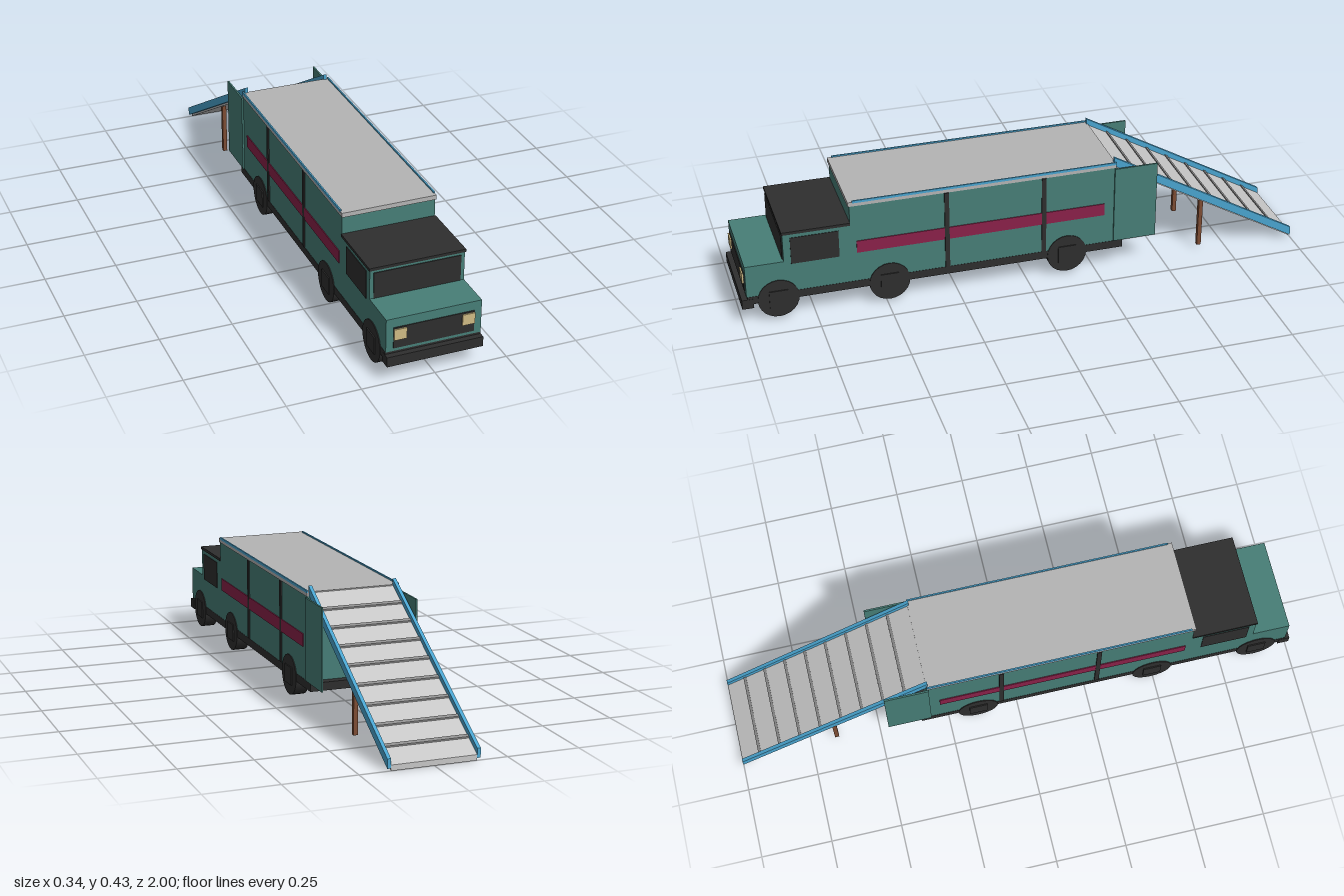
import * as THREE from 'three';

const mat = (name, color) => {
  const m = new THREE.MeshStandardMaterial({ color });
  m.name = name;
  return m;
};

export function createModel() {
  const truck = new THREE.Group();
  truck.name = 'truckWithRamp';

  const teal = mat('tealPaint', 0x477e77);
  const black = mat('blackTrim', 0x2e2e2e);
  const roofGrey = mat('roofGrey', 0xb4b4b4);
  const rampGrey = mat('rampGrey', 0xc6c6c6);
  const rungGrey = mat('rungGrey', 0x8c8c8c);
  const maroon = mat('maroonStripe', 0x8a2149);
  const blue = mat('blueRail', 0x4aa5d0);
  const cream = mat('headlightCream', 0xd0bb85);
  const brown = mat('brownLeg', 0x7d4c33);

  const add = (name, geometry, material) => {
    const mesh = new THREE.Mesh(geometry, material);
    mesh.name = name;
    truck.add(mesh);
    return mesh;
  };
  // Box given by its lower and upper limits on each axis
  const box = (name, material, [x0, x1], [y0, y1], [z0, z1]) => {
    const mesh = add(name, new THREE.BoxGeometry(x1 - x0, y1 - y0, z1 - z0), material);
    mesh.position.set((x0 + x1) / 2, (y0 + y1) / 2, (z0 + z1) / 2);
    return mesh;
  };
  // The same box on both sides of the truck
  const pair = (name, material, [x0, x1], y, z) => {
    box(name + 'Left', material, [x0, x1], y, z);
    box(name + 'Right', material, [-x1, -x0], y, z);
  };

  // Chassis and bumper
  box('chassis', black, [-0.164, 0.164], [0.075, 0.104], [-0.35, 0.98]);
  box('bumper', black, [-0.165, 0.165], [0.06, 0.095], [0.96, 1]);

  // Hood and cab
  box('hood', teal, [-0.163, 0.163], [0.104, 0.222], [0.85, 0.983]);
  box('cab', teal, [-0.163, 0.163], [0.104, 0.325], [0.62, 0.85]);
  box('cabRoof', black, [-0.166, 0.166], [0.324, 0.334], [0.62, 0.853]);
  box('windshield', black, [-0.15, 0.15], [0.223, 0.315], [0.849, 0.853]);
  pair('sideWindow', black, [0.162, 0.165], [0.21, 0.31], [0.66, 0.825]);
  box('grille', black, [-0.138, 0.138], [0.115, 0.19], [0.982, 0.986]);
  pair('headlight', cream, [0.095, 0.138], [0.146, 0.185], [0.983, 0.991]);

  // Cargo body with its roof, stripes and open rear doors
  box('cargoBody', teal, [-0.163, 0.163], [0.104, 0.396], [-0.32, 0.62]);
  box('cargoRoof', roofGrey, [-0.165, 0.165], [0.396, 0.412], [-0.32, 0.625]);
  pair('roofRail', blue, [0.161, 0.166], [0.408, 0.417], [-0.32, 0.61]);
  pair('sideStripe', maroon, [0.162, 0.166], [0.215, 0.26], [-0.28, 0.6]);
  for (const z of [0.285, -0.06]) {
    pair('sideRib', black, [0.162, 0.167], [0.106, 0.395], [z - 0.008, z + 0.008]);
  }
  pair('rearDoor', teal, [0.164, 0.17], [0.107, 0.393], [-0.47, -0.315]);

  // Wheels with square hubs
  const tyre = new THREE.CylinderGeometry(0.071, 0.071, 0.047, 24);
  tyre.rotateZ(Math.PI / 2);
  for (const z of [0.875, 0.49, -0.145]) {
    for (const side of [-1, 1]) {
      add('wheel', tyre, black).position.set(side * 0.1425, 0.083, z);
    }
    pair('wheelHub', black, [0.16, 0.17], [0.051, 0.114], [z - 0.032, z + 0.032]);
  }

  // Sloping ramp: each part is a slanted strip with upright ends
  const rampStart = -0.315, rampEnd = -1;
  const slope = 0.392 / (rampStart - rampEnd);
  const slant = (name, material, [x0, x1], [y0, y1], [z0, z1]) => {
    const mesh = box(name, material, [x0, x1], [y0, y1], [z0, z1]);
    const p = mesh.geometry.attributes.position;
    const middle = (z0 + z1) / 2;
    for (let i = 0; i < p.count; i++) {
      p.setY(i, p.getY(i) + (p.getZ(i) + middle - rampEnd) * slope);
    }
    mesh.geometry.computeVertexNormals();
  };
  slant('rampDeck', rampGrey, [-0.145, 0.145], [0, 0.019], [rampEnd, rampStart]);
  for (const [name, x] of [['rampRailLeft', [0.145, 0.157]], ['rampRailRight', [-0.157, -0.145]]]) {
    slant(name, blue, x, [0.008, 0.04], [rampEnd, rampStart]);
  }
  for (let i = 0; i < 8; i++) {
    const z = -0.394 - i * 0.077;
    slant('rampRung', rungGrey, [-0.145, 0.145], [0.018, 0.024], [z - 0.005, z + 0.005]);
  }

  // Ramp legs
  pair('rampLeg', brown, [0.118, 0.133], [0.012, 0.203], [-0.663, -0.648]);

  return truck;
}
